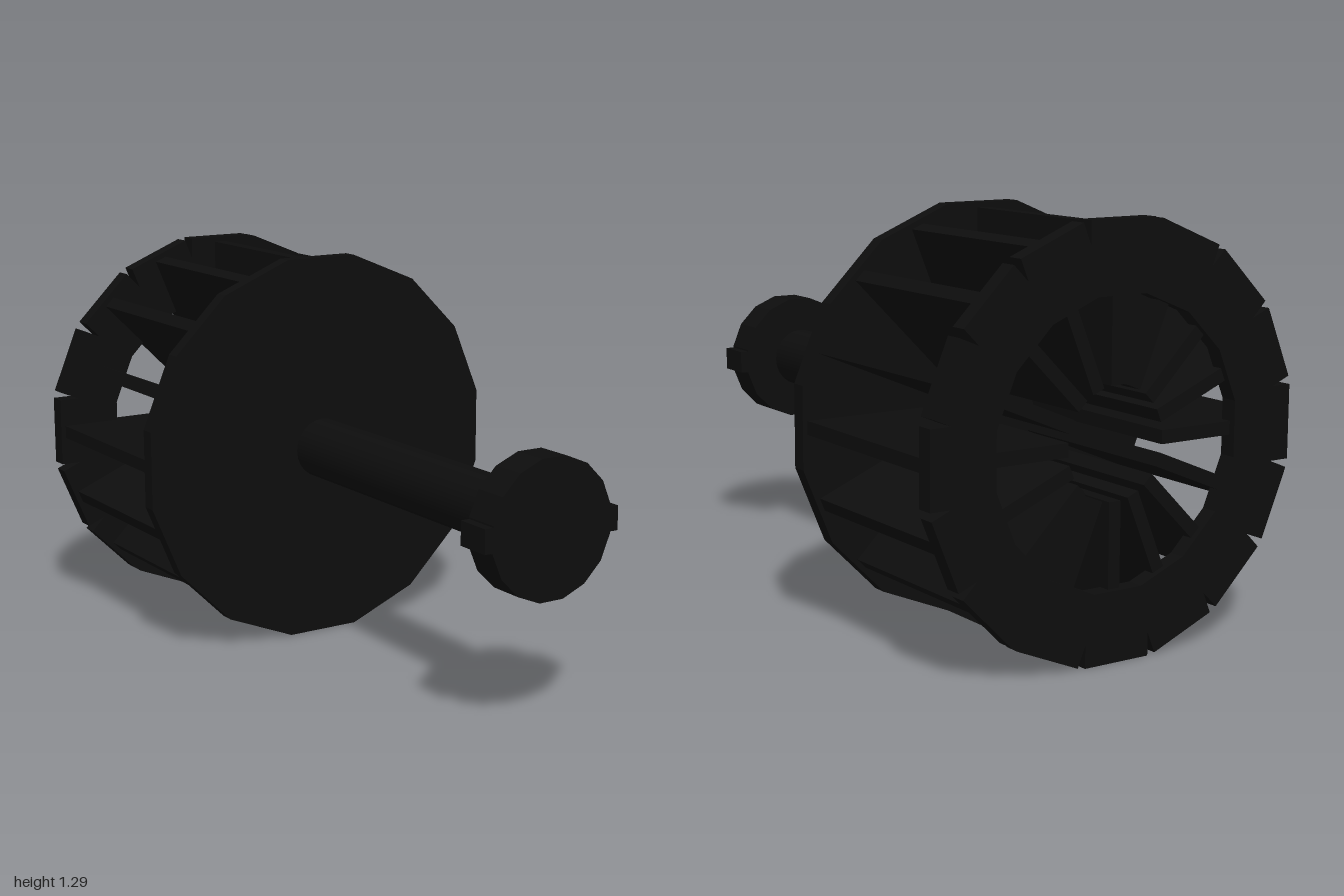
import * as THREE from 'three';

const SIDES = 16;
const STEP = (Math.PI * 2) / SIDES;
const CENTRE_Y = 0.648;

export function createModel() {
  const group = new THREE.Group();
  const black = new THREE.MeshStandardMaterial({ color: 0x0d0d0d });
  black.name = 'matte black';

  const wheel = new THREE.Group();
  wheel.name = 'paddleWheel';
  wheel.position.y = CENTRE_Y;
  group.add(wheel);

  const add = (name, geometry, z = 0) => {
    const mesh = new THREE.Mesh(geometry, black);
    mesh.name = name;
    mesh.position.z = z;
    wheel.add(mesh);
    return mesh;
  };

  // Prism or shaft lying along z between two depths
  const rod = (radius, z0, z1, sides, turn = 0) => {
    const g = new THREE.CylinderGeometry(radius, radius, z1 - z0, sides);
    g.rotateY(turn).rotateX(Math.PI / 2).translate(0, 0, (z0 + z1) / 2);
    return sides > SIDES ? g : g.toNonIndexed();
  };
  const flat = (g) => {
    g.computeVertexNormals();
    return g;
  };

  // Solid front plate, flat side uppermost
  add('frontPlate', flat(rod(0.659, -0.3, -0.25, SIDES, STEP / 2)));

  // Rear ring of sixteen segments with notches between them
  const apothem = 0.647, half = 0.115, inner = 0.43 / Math.cos(STEP / 2);
  const outline = new THREE.Shape();
  const hole = new THREE.Path();
  const outer = [], inside = [];
  for (let i = 0; i < SIDES; i++) {
    const a = i * STEP, c = Math.cos(a), s = Math.sin(a), b = a + STEP / 2;
    const notch = half / Math.sin(STEP / 2);
    outer.push(
      new THREE.Vector2(apothem * c + half * s, apothem * s - half * c),
      new THREE.Vector2(apothem * c - half * s, apothem * s + half * c),
      new THREE.Vector2(notch * Math.cos(b), notch * Math.sin(b))
    );
    inside.push(new THREE.Vector2(inner * Math.cos(b), inner * Math.sin(b)));
  }
  outline.setFromPoints(outer);
  hole.setFromPoints(inside);
  outline.holes.push(hole);
  add('rearRing', new THREE.ExtrudeGeometry(outline, { depth: 0.055, bevelEnabled: false }), -1);

  // Radial blades between plate and ring
  const blade = new THREE.BoxGeometry(0.46, 0.042, 0.69).translate(0.4, 0, -0.635);
  for (let i = 0; i < SIDES; i++) add('blade', blade).rotation.z = i * STEP;

  // Shaft running through the plate
  add('shaft', rod(0.1, -0.44, 0.9, 24));

  // End cap with a tab on each side
  add('endCap', flat(rod(0.218, 0.885, 1, SIDES, STEP / 2)));
  for (const side of [-1, 1]) {
    add('capTab', new THREE.BoxGeometry(0.06, 0.075, 0.115), 0.9425).position.x = side * 0.212;
  }

  return group;
}
